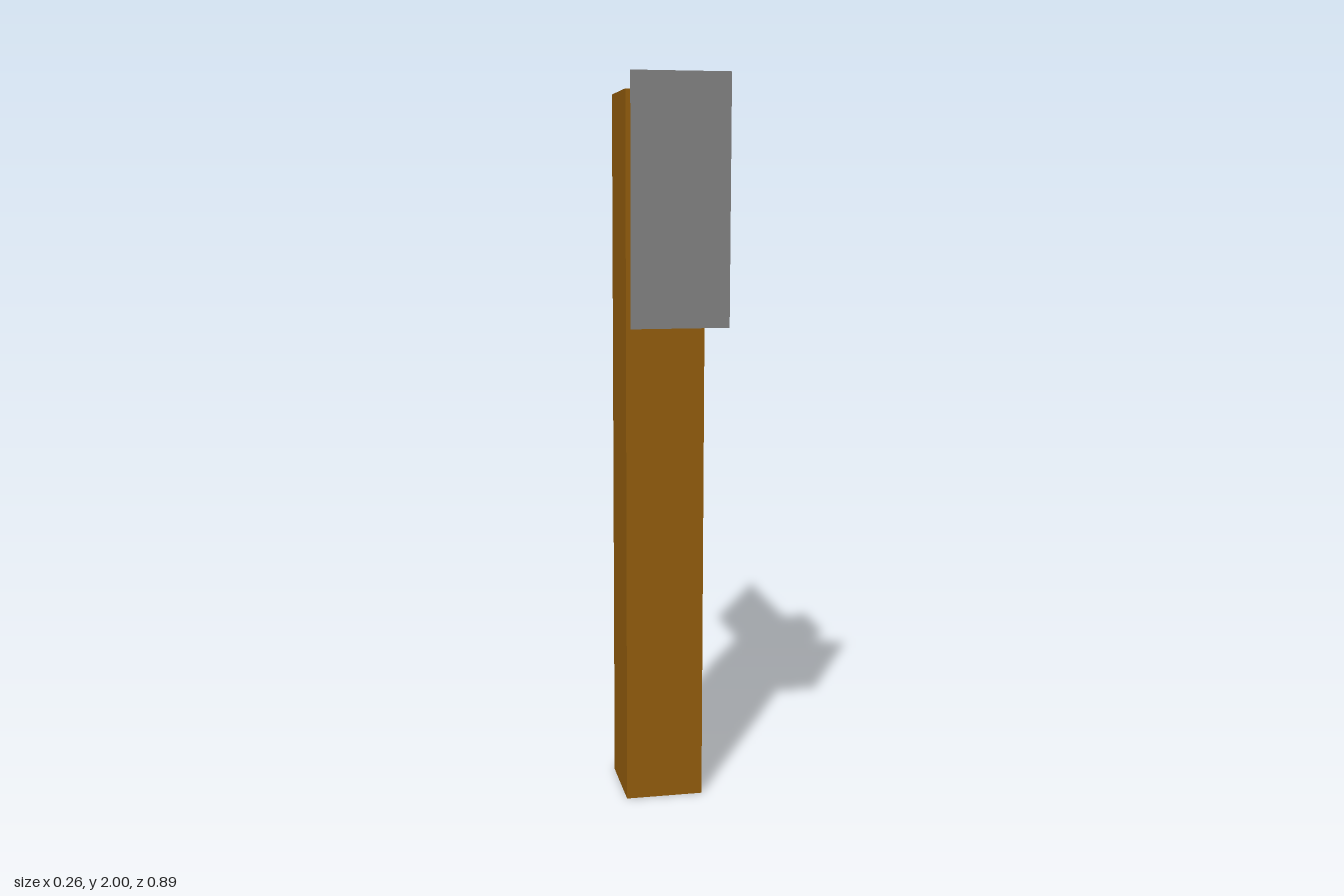
import * as THREE from 'three';

// Four-sided block tapering along z between two upright rectangles
// (w: half width, y0/y1: bottom and top)
function taperedBlock(back, front) {
  const geo = new THREE.BoxGeometry(2, 2, 2);
  const pos = geo.attributes.position;
  for (let i = 0; i < pos.count; i++) {
    const end = pos.getZ(i) > 0 ? front : back;
    pos.setXYZ(i, pos.getX(i) * end.w, pos.getY(i) > 0 ? end.y1 : end.y0, end.z);
  }
  geo.computeVertexNormals();
  return geo;
}

export function createModel() {
  const wood = new THREE.MeshStandardMaterial({ name: 'brown wood', color: 0x915c0c });
  const steel = new THREE.MeshStandardMaterial({ name: 'grey steel', color: 0x808080 });
  const model = new THREE.Group();
  model.name = 'axe';

  const add = (name, geo, material) => {
    const mesh = new THREE.Mesh(geo, material);
    mesh.name = name;
    model.add(mesh);
    return mesh;
  };

  // Square handle
  add('handle', new THREE.BoxGeometry(0.217, 1.97, 0.217), wood).position.set(0, 0.985, 0.1435);

  // Wedge blade, flaring upright and thinning to a sharp edge at the back
  add('blade', taperedBlock(
    { z: -0.447, w: 0.0005, y0: 1.355, y1: 2 },
    { z: 0.036, w: 0.05, y0: 1.492, y1: 1.865 }
  ), steel);

  // Blunt hammer head, flaring toward the front
  add('hammerHead', taperedBlock(
    { z: 0.251, w: 0.077, y0: 1.52, y1: 1.835 },
    { z: 0.447, w: 0.13, y0: 1.355, y1: 2 }
  ), steel);

  return model;
}
